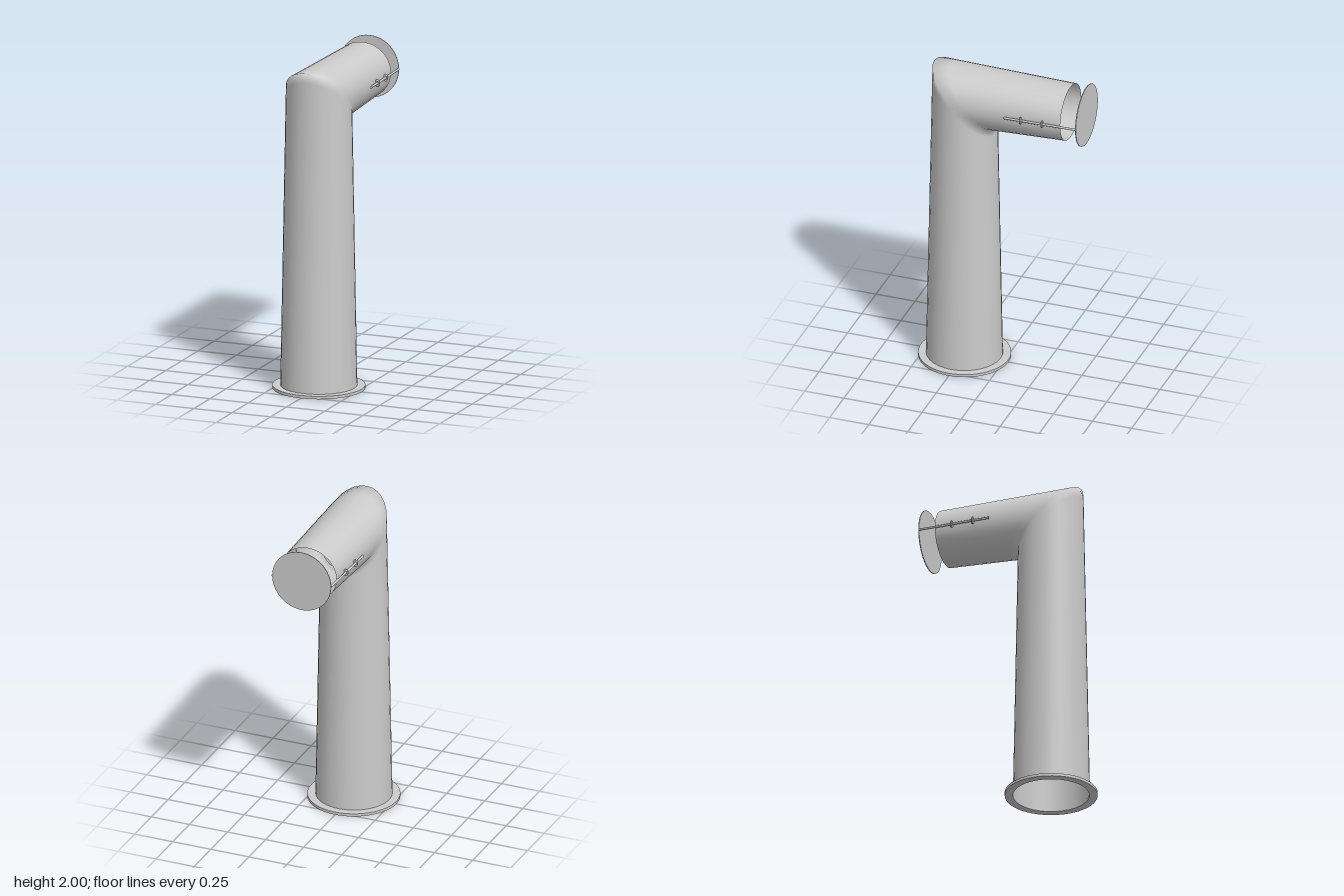
import * as THREE from 'three';

const SIDES = 32;
const material = new THREE.MeshStandardMaterial({ color: 0xcccccc, side: THREE.DoubleSide });

function add(parent, name, geometry) {
  const mesh = new THREE.Mesh(geometry, material);
  mesh.name = name;
  parent.add(mesh);
  return mesh;
}

// Joins rings of equal point count into an open, smooth tube
function loft(rings) {
  const n = rings[0].length, index = [];
  for (let j = 0; j < rings.length - 1; j++) {
    for (let i = 0; i < n; i++) {
      const a = j * n + i, b = j * n + (i + 1) % n;
      index.push(a, a + n, b, b, a + n, b + n);
    }
  }
  const geometry = new THREE.BufferGeometry().setFromPoints(rings.flat());
  geometry.setIndex(index);
  geometry.computeVertexNormals();
  return geometry;
}

// Ring in x with its other axis running along (dy, dz)
function ring(y, z, rx, dy, dz) {
  return Array.from({ length: SIDES }, (_, i) => {
    const t = i / SIDES * Math.PI * 2, s = Math.sin(t);
    return new THREE.Vector3(rx * Math.cos(t), y + dy * s, z + dz * s);
  });
}

const between = (a, b, k) => a.map((p, i) => p.clone().lerp(b[i], k));

export function createModel() {
  const model = new THREE.Group();

  // Tapering riser, mitred elbow and horizontal outlet
  const base = ring(0.01, 0.252, 0.232, 0, 0.232);
  const mitre = ring(1.81, 0.247, 0.2, 0.19, 0.197);
  const outlet = ring(1.812, -0.428, 0.184, 0.173, 0);
  add(model, 'pipe', loft([
    base, between(base, mitre, 0.5), between(base, mitre, 0.97), mitre,
    between(mitre, outlet, 0.12), between(mitre, outlet, 0.5), outlet,
  ]));

  // Flat flange around the foot
  const profile = [[0.23, 0.002], [0.28, 0.002], [0.28, 0.02], [0.23, 0.02], [0.23, 0.002]];
  const corners = [];
  for (let i = 0; i < 4; i++) {
    // Doubled points keep the rim edges crisp
    corners.push(new THREE.Vector2(...profile[i]), new THREE.Vector2(...profile[i + 1]));
  }
  add(model, 'baseFlange', new THREE.LatheGeometry(corners, 48)).position.z = 0.25;

  // Cover plate standing off the outlet
  const cover = add(model, 'coverPlate', new THREE.CylinderGeometry(0.193, 0.193, 0.005, 48));
  cover.rotation.x = Math.PI / 2;
  cover.position.set(0, 1.81, -0.529);

  // Support rod and two eyelets on each side
  for (const side of [1, -1]) {
    const support = new THREE.Group();
    support.name = side > 0 ? 'leftSupport' : 'rightSupport';
    const start = new THREE.Vector3(side * 0.203, 1.81, -0.075);
    const end = new THREE.Vector3(side * 0.191, 1.81, -0.529);
    add(support, 'rod', new THREE.TubeGeometry(new THREE.LineCurve3(start, end), 1, 0.007, 10));
    for (const k of [0.23, 0.53]) {
      const eyelet = add(support, 'eyelet', new THREE.TorusGeometry(0.011, 0.005, 8, 20));
      eyelet.position.lerpVectors(start, end, k);
      eyelet.scale.y = 1.5;
    }
    model.add(support);
  }
  return model;
}
